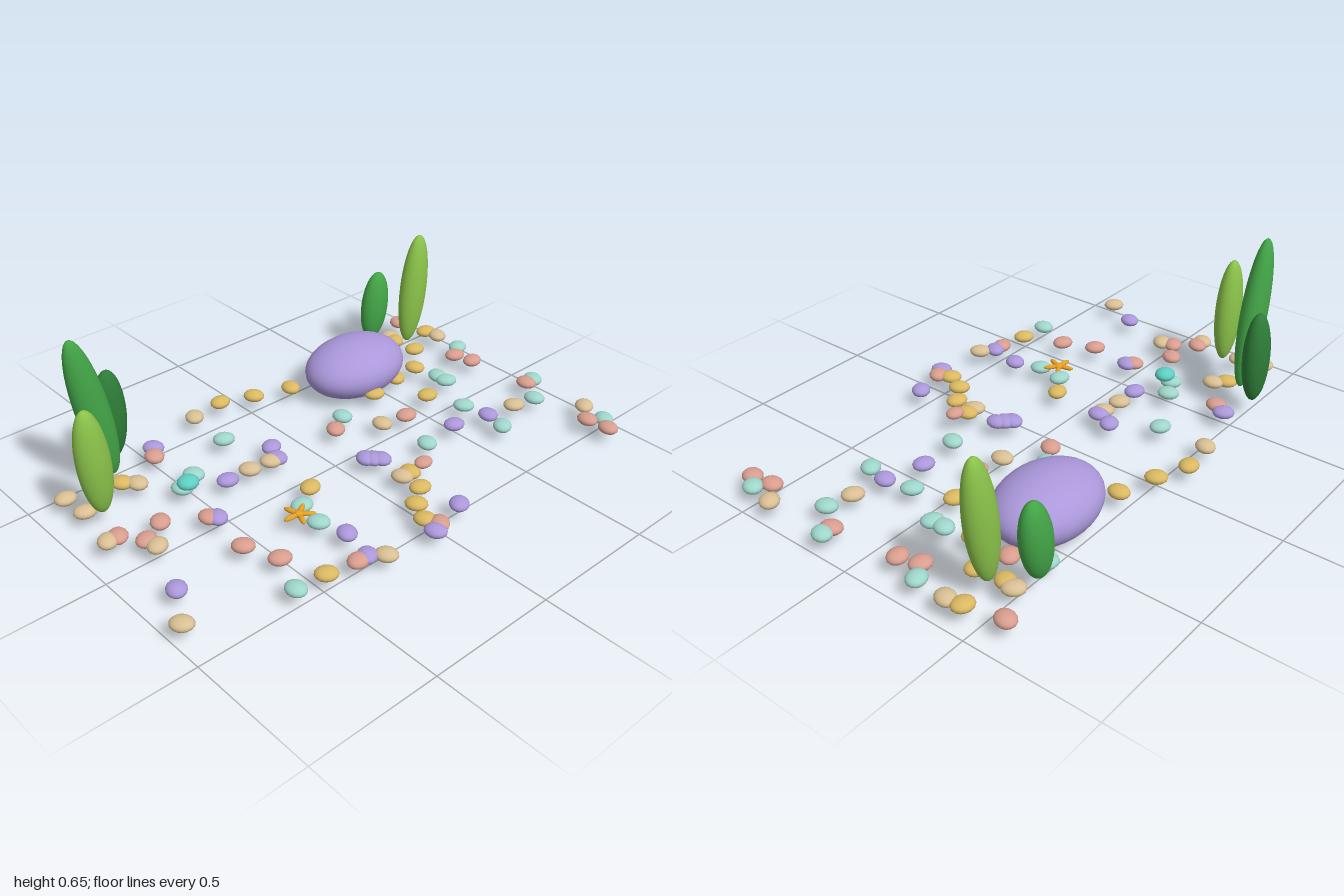
import * as THREE from 'three';

const mat = (name, color) => {
  const m = new THREE.MeshStandardMaterial({ color });
  m.name = name;
  return m;
};

export function createModel() {
  const group = new THREE.Group();
  const sand = mat('sand', 0xd9bf94);
  const gold = mat('gold', 0xdbb962);
  const coral = mat('coral', 0xd99e8f);
  const lilac = mat('lilac', 0xab98db);
  const mint = mat('mint', 0x9fd6cb);
  const turquoise = mat('turquoise', 0x5fcfc2);
  const orange = mat('orange', 0xe6a023);
  const lightGreen = mat('lightGreen', 0x8bc34a);
  const midGreen = mat('midGreen', 0x43a547);
  const darkGreen = mat('darkGreen', 0x2e7d38);

  const small = new THREE.SphereGeometry(1, 14, 10);
  const large = new THREE.SphereGeometry(1, 32, 20);

  // Ellipsoid helper: position, radii
  const ellipsoid = (name, geo, material, pos, radii, parent = group) => {
    const m = new THREE.Mesh(geo, material);
    m.name = name;
    m.position.set(...pos);
    m.scale.set(...radii);
    parent.add(m);
    return m;
  };

  // Seeded generator for pebble turns
  let seed = 7;
  const random = () => (seed = (seed * 16807) % 2147483647) / 2147483647;

  // Pebbles scattered over the bed, x and z per colour
  const scatter = (material, spots) => {
    for (let i = 0; i < spots.length; i += 2) {
      const p = ellipsoid('pebble', small, material, [spots[i], 0.06, spots[i + 1]], [0.042, 0.022, 0.036]);
      p.rotation.y = random() * Math.PI;
    }
  };
  scatter(sand, [
    -0.89, -0.42, -0.88, -0.31, -0.91, -0.12, -0.8, 0.01, -0.96, 0.37, -0.65, -0.33,
    -0.24, -0.55, -0.3, -0.13, -0.21, -0.12, 0.27, -0.03, -0.27, 0.55, 0.08, 0.27,
    0.75, 0.22, 0.95, 0.41, 0.94, -0.38, 0.78, -0.51]);
  scatter(gold, [
    -0.69, -0.37, -0.1, -0.57, 0.03, -0.52, 0.18, -0.47, 0.55, -0.06, -0.48, 0.49,
    -0.21, 0.1, 0.12, 0.27, 0.08, 0.36, 0, 0.42, -0.04, 0.5, 0.67, -0.25,
    0.78, -0.36, 0.93, -0.44, 0.77, -0.47, 0.55, -0.24, 0.4, -0.21]);
  scatter(coral, [
    -0.87, -0.12, -0.81, -0.04, -0.72, -0.09, -0.51, -0.43, 0.11, -0.12, 0.38, -0.01,
    -0.58, 0, -0.59, 0.2, -0.54, 0.33, -0.36, 0.51, -0.02, 0.55, 0.92, 0.14,
    0.88, 0.48, 0.89, 0.57, 0.67, -0.4, 0.87, -0.21, 0.89, -0.13, 0.9, -0.58]);
  scatter(lilac, [
    -0.88, 0.23, -0.48, -0.48, -0.4, -0.13, -0.18, -0.12, -0.15, -0.19, -0.56, 0.02,
    -0.32, 0.51, -0.29, 0.38, 0.06, 0.1, 0.08, 0.12, 0.1, 0.14, -0.06, 0.57,
    0.11, 0.52, 0.47, 0.16, 0.62, 0.2]);
  scatter(mint, [
    -0.25, -0.35, -0.47, -0.24, -0.55, -0.2, 0.19, -0.17, -0.6, 0.48, -0.32, 0.27,
    -0.3, 0.16, 0.3, 0.18, 0.6, 0.09, 0.6, 0.29, 0.85, 0.24, 0.96, 0.14,
    0.93, 0.52, 0.69, -0.14, 0.69, -0.09, 0.62, -0.51, 0.93, -0.25]);

  // Big rock
  ellipsoid('rock', large, lilac, [0.433, 0.115, -0.363], [0.224, 0.115, 0.168]);

  // Shells resting on the bed
  ellipsoid('turquoiseShell', small, turquoise, [-0.538, 0.09, -0.178], [0.041, 0.024, 0.039]);
  ellipsoid('coralShell', small, coral, [0.177, 0.08, 0.28], [0.037, 0.019, 0.03]);

  // Leaning plant blades: x, z, bottom, top, lean
  const blades = [
    [lightGreen, -0.85, -0.262, 0.065, 0.485, 0.08],
    [midGreen, -0.738, -0.433, 0.065, 0.648, 0.2],
    [darkGreen, -0.622, -0.52, 0.065, 0.43, 0],
    [lightGreen, 0.832, -0.432, 0.065, 0.54, -0.12],
    [midGreen, 0.718, -0.547, 0.07, 0.368, -0.14]];
  for (const [material, x, z, bottom, top, lean] of blades) {
    const height = (top - bottom) / 2 / Math.cos(lean);
    const b = ellipsoid('plantBlade', large, material, [x, (top + bottom) / 2, z], [0.063, height, 0.048]);
    b.rotation.z = lean;
  }

  // Starfish with five arms
  const star = new THREE.Group();
  star.name = 'starfish';
  star.position.set(-0.353, 0.073, 0.205);
  ellipsoid('starCentre', small, orange, [0, 0, 0], [0.018, 0.012, 0.018], star);
  for (let i = 0; i < 5; i++) {
    const a = 1.83 + (i * Math.PI * 2) / 5;
    const arm = ellipsoid('starArm', small, orange,
      [Math.cos(a) * 0.032, 0, -Math.sin(a) * 0.032], [0.03, 0.009, 0.01], star);
    arm.rotation.y = a;
  }
  group.add(star);
  return group;
}
